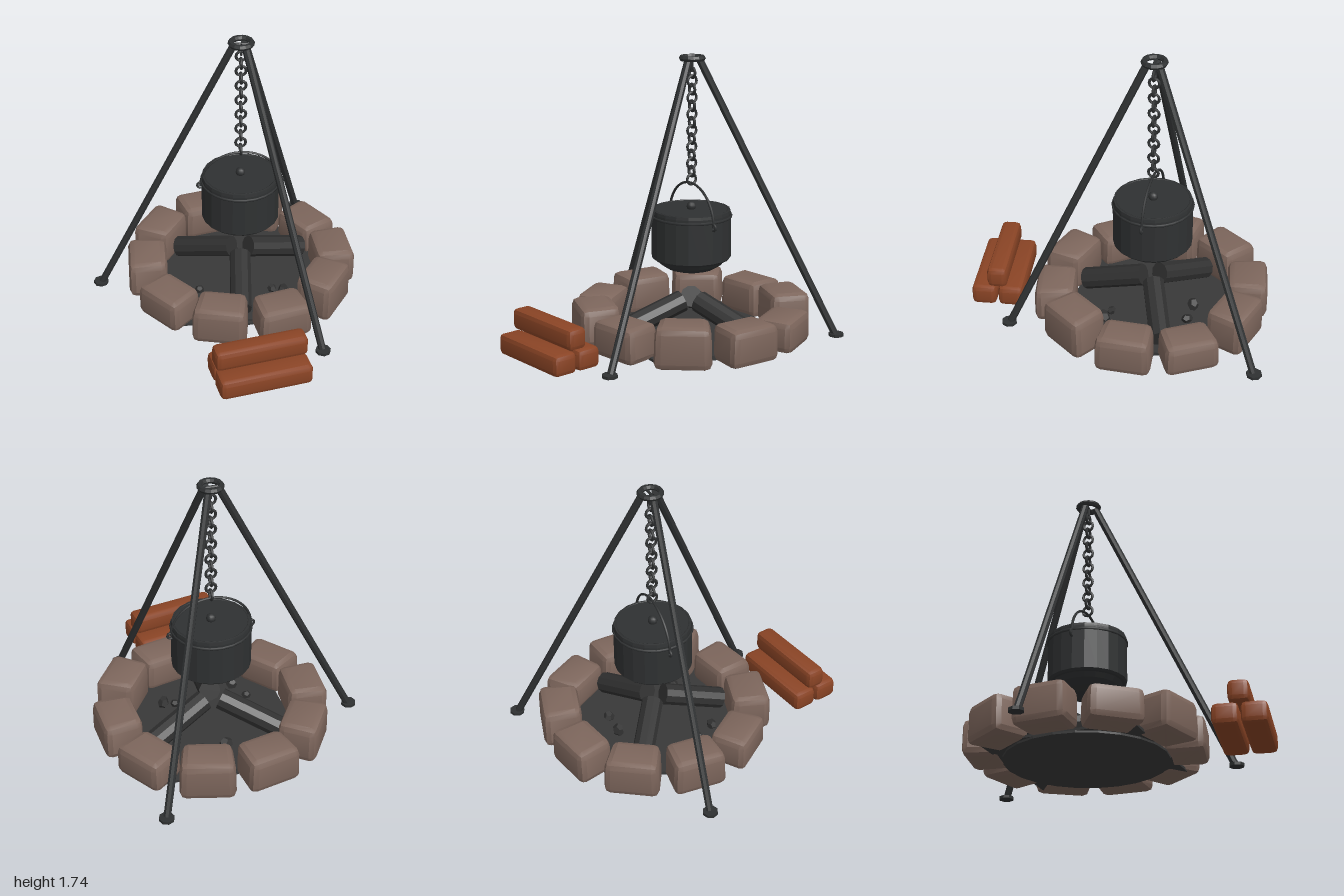
import * as THREE from 'three';
import { RoundedBoxGeometry } from 'three/addons/geometries/RoundedBoxGeometry.js';
import { toCreasedNormals } from 'three/addons/utils/BufferGeometryUtils.js';

const mat = (name, color) => {
  const m = new THREE.MeshStandardMaterial({ color });
  m.name = name;
  return m;
};

// Faceted normals for the low-poly look
const flat = (geo) => {
  const g = geo.index ? geo.toNonIndexed() : geo;
  g.computeVertexNormals();
  return g;
};

export function createModel() {
  const iron = mat('blackened iron', 0x2f3132);
  const stone = mat('brown stone', 0x7d665c);
  const wood = mat('split wood', 0x8a4425);
  const ash = mat('ash', 0x383838);
  const charcoal = mat('charcoal', 0x303030);

  const model = new THREE.Group();
  model.name = 'campfire';
  const fire = new THREE.Group(); // everything gathered around the tripod axis
  fire.name = 'firePit';
  fire.position.set(0.11, 0, -0.2);
  model.add(fire);

  const add = (parent, name, geo, material, x = 0, y = 0, z = 0) => {
    const m = new THREE.Mesh(geo, material);
    m.name = name;
    m.position.set(x, y, z);
    parent.add(m);
    return m;
  };
  // Cylinder between two points
  const rod = (parent, name, a, b, radius, sides, material) => {
    const d = b.clone().sub(a);
    const m = add(parent, name, flat(new THREE.CylinderGeometry(radius, radius, d.length(), sides)), material);
    m.position.copy(a).addScaledVector(d, 0.5);
    m.quaternion.setFromUnitVectors(new THREE.Vector3(0, 1, 0), d.normalize());
    return m;
  };
  const polar = (angle, r, y) => new THREE.Vector3(Math.cos(angle) * r, y, Math.sin(angle) * r);
  const deg = THREE.MathUtils.degToRad;

  // Ash bed
  add(fire, 'ashBase', flat(new THREE.CylinderGeometry(0.5, 0.5, 0.014, 24)), ash, 0, 0.008, 0);
  add(fire, 'ashBed', new THREE.BoxGeometry(0.96, 0.016, 0.96), ash, 0, 0.022, 0);

  // Ring of ten hearth stones: height and twist for each
  const heights = [0.24, 0.27, 0.23, 0.25, 0.22, 0.25, 0.25, 0.24, 0.26, 0.21];
  const twists = [0.06, 0.03, -0.08, 0.06, 0.06, -0.04, 0.05, -0.1, 0.06, -0.05];
  heights.forEach((h, i) => {
    const a = deg(i * 36);
    const geo = new RoundedBoxGeometry(0.245, h - 0.01, 0.32, 1, 0.042);
    const p = geo.attributes.position;
    for (let k = 0; k < p.count; k++) {
      // narrower toward the fire and slightly toward the top
      const s = (1 + p.getX(k) * 0.5) * (1 - p.getY(k) * 0.2);
      p.setZ(k, p.getZ(k) * s);
    }
    const m = add(fire, 'hearthStone', toCreasedNormals(geo, 0.4), stone);
    m.position.copy(polar(a, 0.595, 0.01 + (h - 0.01) / 2));
    m.rotation.y = -a + twists[i];
  });

  // Charred logs leaning together
  [96, 214, -22].forEach((angle) => {
    const a = deg(angle);
    rod(fire, 'charredLog', polar(a, 0.45, 0.09), polar(a, 0.06, 0.225), 0.068, 10, charcoal);
  });

  // Loose coals
  [[-0.28, 0.17], [-0.22, 0.3], [0.25, 0.24], [0.18, 0.21], [0.13, -0.26], [-0.02, -0.26]].forEach(([x, z], i) => {
    const m = add(fire, 'coal', new THREE.DodecahedronGeometry(0.03 + (i % 3) * 0.007), charcoal, x, 0.05, z);
    m.rotation.set(i, i * 1.7, i * 0.6);
    m.scale.y = 0.8;
  });

  // Tripod: legs, feet and crown ring
  [182.5, -57.4, 62.7].forEach((angle) => {
    const a = deg(angle);
    rod(fire, 'tripodLeg', polar(a, 0.89, 0.015), polar(a, 0.045, 1.71), 0.023, 8, iron);
    const foot = add(fire, 'tripodFoot', flat(new THREE.CylinderGeometry(0.047, 0.047, 0.018, 8)), iron);
    foot.position.copy(polar(a, 0.9, 0.009));
  });
  const crown = add(fire, 'crownRing', flat(new THREE.TorusGeometry(0.063, 0.018, 6, 14)), iron, 0, 1.722, 0);
  crown.rotation.x = Math.PI / 2;

  // Chain of alternating links
  const linkGeo = new THREE.TorusGeometry(0.031, 0.009, 6, 12);
  for (let i = 0; i < 14; i++) {
    const link = add(fire, 'chainLink', linkGeo, iron, 0, 1.635 - i * 0.05, 0);
    link.rotation.y = (i % 2) * Math.PI / 2;
  }
  rod(fire, 'chainHook', new THREE.Vector3(0, 1.64, 0), new THREE.Vector3(0, 1.72, 0), 0.009, 6, iron);
  rod(fire, 'crownBar', new THREE.Vector3(-0.06, 1.715, 0), new THREE.Vector3(0.06, 1.715, 0), 0.009, 6, iron);

  // Cooking pot
  const pot = new THREE.Group();
  pot.name = 'cookingPot';
  fire.add(pot);
  const profile = [[0, 0.413], [0.09, 0.418], [0.15, 0.437], [0.195, 0.467], [0.215, 0.495],
    [0.232, 0.496], [0.243, 0.508], [0.243, 0.785]].map(([r, y]) => new THREE.Vector2(r, y));
  add(pot, 'potBody', flat(new THREE.LatheGeometry(profile, 20)), iron);
  add(pot, 'potLid', flat(new THREE.CylinderGeometry(0.238, 0.243, 0.03, 20)), iron, 0, 0.787, 0);
  const rim = add(pot, 'potRim', new THREE.TorusGeometry(0.242, 0.009, 6, 24), iron, 0, 0.763, 0);
  rim.rotation.x = Math.PI / 2;
  const bead = add(pot, 'lidBead', new THREE.TorusGeometry(0.225, 0.005, 5, 24), iron, 0, 0.8, 0);
  bead.rotation.x = Math.PI / 2;
  add(pot, 'lidKnob', new THREE.SphereGeometry(0.03, 10, 8), iron, 0, 0.818, 0);

  // Bail handle and its ears
  const bail = add(pot, 'bailHandle', new THREE.TorusGeometry(0.25, 0.008, 6, 24, Math.PI), iron, 0, 0.735, 0);
  bail.scale.y = 0.91;
  for (const s of [-1, 1]) {
    add(pot, 'handleEar', new THREE.TorusGeometry(0.02, 0.008, 6, 10), iron, s * 0.25, 0.737, 0);
  }

  // Firewood stack
  const stack = new THREE.Group();
  stack.name = 'firewood';
  stack.position.set(0.11, 0, 0.78);
  stack.rotation.y = 0.175;
  model.add(stack);
  [[0.073, 0.083, 0.155], [0.073, -0.083, 0.155], [0.208, -0.003, 0.125]].forEach(([y, z, w]) => {
    const geo = new RoundedBoxGeometry(0.57, 0.13, w, 1, 0.03);
    add(stack, 'splitLog', toCreasedNormals(geo, 0.4), wood, 0, y, z);
  });

  return model;
}
